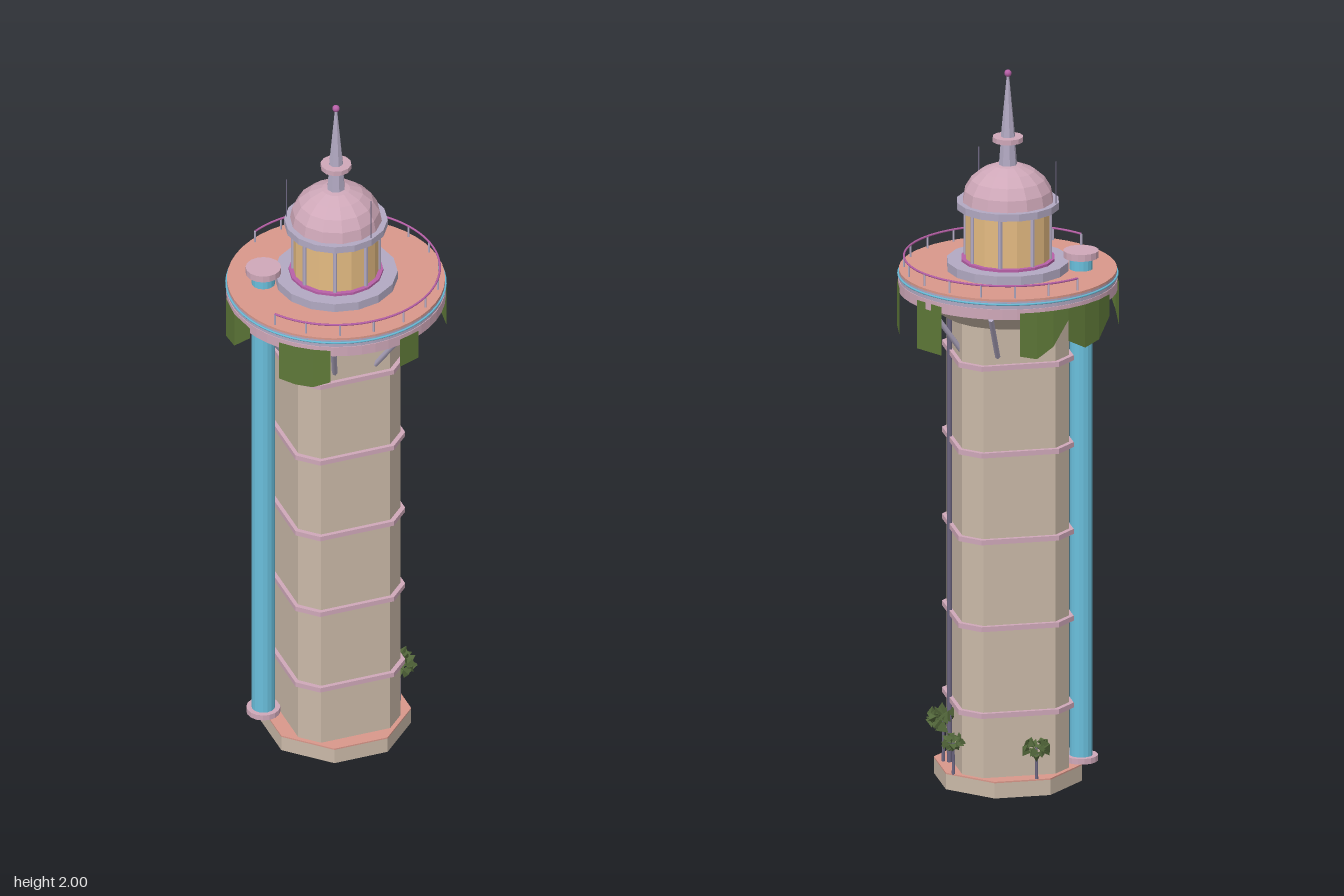
import * as THREE from 'three';

const mat = (name, color, side = THREE.FrontSide) => {
  const m = new THREE.MeshStandardMaterial({ color, side });
  m.name = name;
  return m;
};

export function createModel() {
  const root = new THREE.Group();
  root.name = 'tower';

  const stone = mat('stone', 0xcab9a8);
  const salmon = mat('salmon', 0xd9988b);
  const pink = mat('pink', 0xcfa8b9);
  const lavender = mat('lavender', 0xb2a9c2);
  const teal = mat('teal', 0x6abfdc);
  const plum = mat('plum', 0xb860a8);
  const amber = mat('amber', 0xe4bb82);
  const ivy = mat('ivy green', 0x5e7838, THREE.DoubleSide);
  const leaf = mat('leaf green', 0x52663a);
  const steel = mat('dark steel', 0x6c6580);

  const add = (name, geo, material, x = 0, y = 0, z = 0, parent = root) => {
    const mesh = new THREE.Mesh(geo, material);
    mesh.name = name;
    mesh.position.set(x, y, z);
    parent.add(mesh);
    return mesh;
  };
  const faceted = (geo) => {
    const g = geo.index ? geo.toNonIndexed() : geo;
    g.computeVertexNormals();
    return g;
  };
  // Upright cylinder or cone between two heights
  const drum = (name, material, rBottom, rTop, y0, y1, sides, x = 0, z = 0, parent = root) =>
    add(name, faceted(new THREE.CylinderGeometry(rTop, rBottom, y1 - y0, sides)), material, x, (y0 + y1) / 2, z, parent);
  // Square prism with cut corners: h is the half width, c the half length of a flat side
  const prism = (name, material, h, c, y0, y1) => {
    const s = new THREE.Shape([[h, -c], [h, c], [c, h], [-c, h], [-h, c], [-h, -c], [-c, -h], [c, -h]]
      .map(([x, y]) => new THREE.Vector2(x, y)));
    const g = new THREE.ExtrudeGeometry(s, { depth: y1 - y0, bevelEnabled: false });
    g.rotateX(-Math.PI / 2);
    return add(name, g, material, 0, y0, 0);
  };
  // Rod between two points
  const rod = (name, material, a, b, r, sides = 6) => {
    const d = b.clone().sub(a);
    const m = add(name, new THREE.CylinderGeometry(r, r, d.length(), sides), material);
    m.position.copy(a).add(b).multiplyScalar(0.5);
    m.quaternion.setFromUnitVectors(new THREE.Vector3(0, 1, 0), d.normalize());
    return m;
  };
  // Point at an angle measured from +z toward +x
  const polar = (deg, r, y) => {
    const t = THREE.MathUtils.degToRad(deg);
    return new THREE.Vector3(r * Math.sin(t), y, r * Math.cos(t));
  };

  // Base and shaft
  prism('base', stone, 0.188, 0.077, 0, 0.043);
  prism('baseTop', salmon, 0.188, 0.077, 0.043, 0.047);
  prism('shaft', stone, 0.148, 0.1, 0.047, 1.34);
  for (let i = 0; i < 5; i++) {
    const y = 0.225 + i * 0.2455;
    prism('shaftBand', pink, 0.159, 0.107, y - 0.007, y + 0.007);
  }
  rod('conduit', steel, new THREE.Vector3(0.157, 0.047, 0.02), new THREE.Vector3(0.157, 1.34, 0.02), 0.007, 8);

  // Water pipe beside the shaft
  drum('pipeFlange', pink, 0.046, 0.046, 0.05, 0.066, 16, -0.192, -0.048);
  drum('pipe', teal, 0.032, 0.032, 0.066, 1.475, 16, -0.192, -0.048);
  drum('pipeCap', pink, 0.048, 0.048, 1.473, 1.492, 16, -0.192, -0.048);

  // Flared underside, deck and rim
  drum('deckSoffit', stone, 0.18, 0.28, 1.32, 1.39, 24);
  drum('deckRim', pink, 0.297, 0.297, 1.383, 1.412, 48);
  drum('deckEdge', lavender, 0.295, 0.295, 1.412, 1.434, 48);
  drum('deckFloor', salmon, 0.295, 0.295, 1.434, 1.44, 48);
  const glow = new THREE.TorusGeometry(0.2965, 0.003, 6, 64);
  glow.rotateX(Math.PI / 2);
  add('rimStrip', glow, teal, 0, 1.426, 0);

  // Struts under the deck
  for (let i = 0; i < 8; i++) {
    const a = 22.5 + i * 45;
    rod('strut', lavender, polar(a, 0.155, 1.235), polar(a, 0.255, 1.37), 0.008);
  }

  // Railing, open on one side
  const start = THREE.MathUtils.degToRad(-120), sweep = THREE.MathUtils.degToRad(267);
  const rail = new THREE.TorusGeometry(0.281, 0.003, 6, 64, sweep);
  rail.rotateZ(start);
  rail.rotateX(Math.PI / 2);
  add('rail', rail, plum, 0, 1.474, 0);
  for (let i = 0; i <= 14; i++) {
    const t = start + sweep * i / 14;
    drum('railPost', lavender, 0.003, 0.003, 1.438, 1.474, 6, 0.281 * Math.cos(t), 0.281 * Math.sin(t));
  }

  // Lantern room
  drum('lanternPlinth', lavender, 0.167, 0.167, 1.438, 1.465, 16);
  drum('lanternFoot', plum, 0.128, 0.128, 1.465, 1.472, 16);
  drum('lanternGlass', amber, 0.116, 0.116, 1.47, 1.615, 16);
  for (let i = 0; i < 8; i++) {
    const p = polar(22.5 + i * 45, 0.116, 0);
    drum('mullion', lavender, 0.006, 0.006, 1.468, 1.615, 6, p.x, p.z);
  }
  drum('cornice', lavender, 0.14, 0.14, 1.612, 1.632, 16);

  // Dome and spire
  const dome = new THREE.SphereGeometry(0.125, 14, 5, 0, Math.PI * 2, 0, Math.PI / 2);
  dome.scale(1, 0.85, 1);
  add('dome', faceted(dome), pink, 0, 1.63, 0);
  drum('spireNeck', lavender, 0.026, 0.02, 1.72, 1.8, 8);
  drum('spireDisc', pink, 0.042, 0.042, 1.798, 1.812, 12);
  drum('spire', lavender, 0.02, 0.003, 1.81, 1.988, 8);
  add('finial', new THREE.SphereGeometry(0.01, 10, 8), plum, 0, 1.99, 0);
  [[-0.12, -0.06], [0.055, 0.12]].forEach(([x, z]) => drum('antenna', steel, 0.0018, 0.0018, 1.63, 1.75, 6, x, z));

  // Hanging ivy curved along the rim: start angle, end angle, heights of the lower edge
  [[-52, -24, [1.285, 1.28, 1.28, 1.3]],
    [14, 27, [1.315, 1.315]],
    [74, 90, [1.27, 1.27]],
    [113, 131, [1.265, 1.265]],
    [174, 201, [1.28, 1.27, 1.3, 1.37]],
    [201, 234, [1.31, 1.28, 1.29, 1.34]],
    [257, 288, [1.28, 1.3, 1.37]]
  ].forEach(([a0, a1, lower]) => {
    const rad = THREE.MathUtils.degToRad;
    const g = new THREE.CylinderGeometry(0.3, 0.3, 1, lower.length - 1, 1, true, rad(a0), rad(a1 - a0));
    const p = g.attributes.position;
    lower.forEach((y, i) => {
      p.setY(i, 1.402);
      p.setY(i + lower.length, y);
    });
    add('ivy', faceted(g), ivy);
  });

  // Small trees on the base: x, z, crown height, crown radius
  let seed = 7;
  const rand = () => (seed = (seed * 16807) % 2147483647) / 2147483647;
  [[0.172, 0.03, 0.168, 0.052], [0.17, -0.09, 0.135, 0.036], [-0.04, -0.182, 0.135, 0.041]].forEach(([x, z, y, r]) => {
    const tree = new THREE.Group();
    tree.name = 'tree';
    root.add(tree);
    drum('trunk', steel, 0.005, 0.003, 0.045, y, 6, x, z, tree);
    for (let i = 0; i < 26; i++) {
      const t = rand() * Math.PI * 2, u = rand() * 2 - 1, d = r * (0.45 + 0.4 * rand()), q = Math.sqrt(1 - u * u);
      const clump = add('leafClump', new THREE.TetrahedronGeometry(r * (0.3 + 0.15 * rand())), leaf,
        x + d * q * Math.cos(t), y + d * u * 0.75, z + d * q * Math.sin(t), tree);
      clump.rotation.set(rand() * 6, rand() * 6, rand() * 6);
    }
  });

  return root;
}
